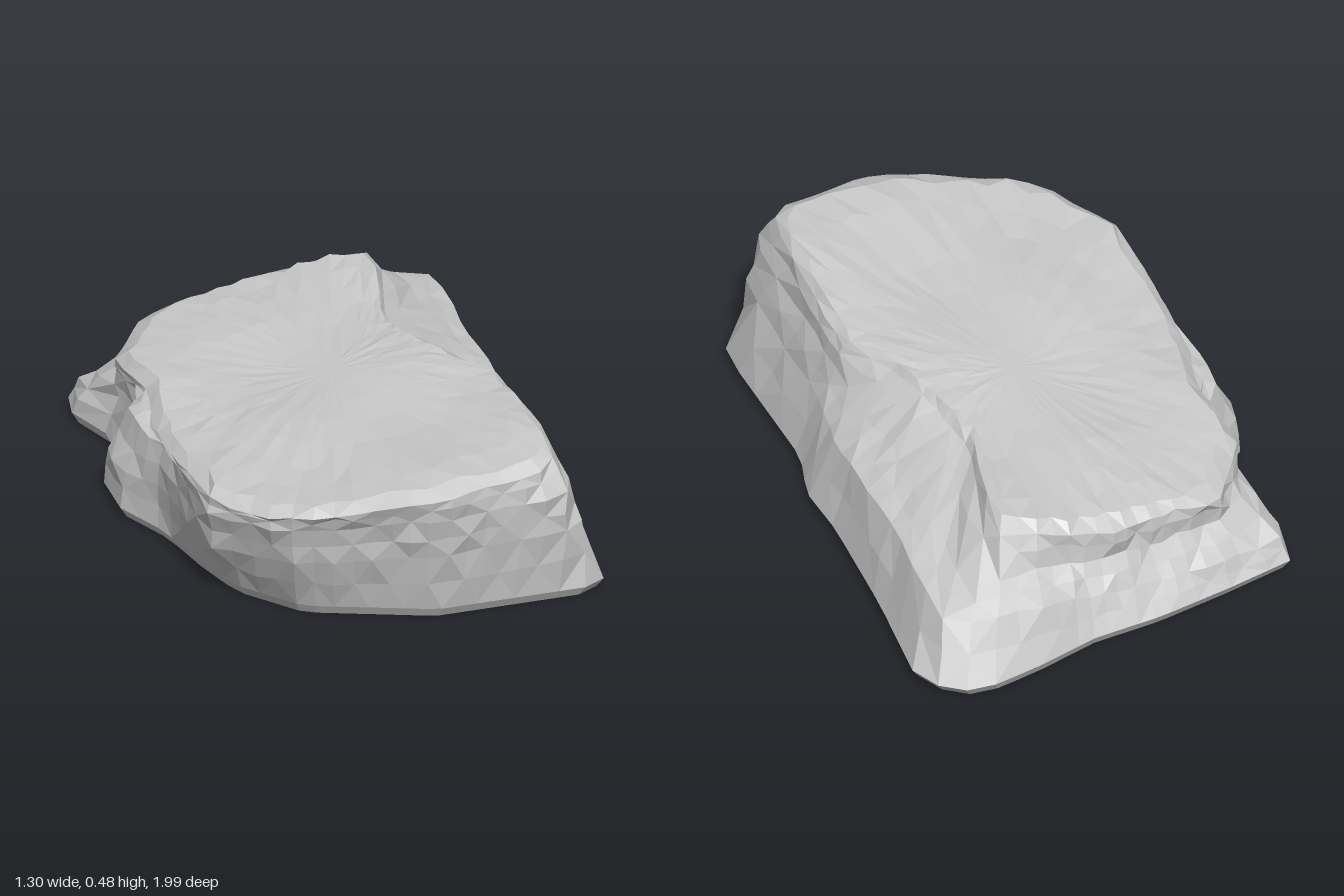
import * as THREE from 'three';

// Outlines as [x, z, y] points, walking front-right -> right -> back -> left -> front.
const SKIRT = [
  [0.52, 0.9, 0.03], [0.57, 0.85, 0.03], [0.56, 0.27, 0.03], [0.61, 0.1, 0.03], [0.6, -0.1, 0.03],
  [0.62, -0.5, 0.03], [0.655, -0.85, 0.03], [0.61, -0.95, 0.03], [0.54, -1, 0.03], [0.45, -1, 0.03],
  [0.3, -0.96, 0.03], [0.1, -0.89, 0.03], [-0.12, -0.86, 0.03], [-0.36, -0.8, 0.03], [-0.6, -0.73, 0.03],
  [-0.6, -0.66, 0.03], [-0.54, -0.48, 0.03], [-0.55, -0.26, 0.03], [-0.64, -0.18, 0.03], [-0.645, 0, 0.03],
  [-0.57, 0.18, 0.03], [-0.53, 0.4, 0.03], [-0.48, 0.58, 0.03], [-0.33, 0.77, 0.03], [0.04, 0.91, 0.03]];
const SHOULDER = [
  [0.46, 0.93, 0.24], [0.5, 0.86, 0.24], [0.5, 0.27, 0.22], [0.53, 0.1, 0.21], [0.54, -0.1, 0.23],
  [0.55, -0.5, 0.23], [0.575, -0.84, 0.21], [0.55, -0.89, 0.2], [0.48, -0.91, 0.2], [0.4, -0.9, 0.2],
  [0.28, -0.89, 0.18], [0.1, -0.84, 0.14], [-0.1, -0.81, 0.12], [-0.36, -0.77, 0.1], [-0.57, -0.7, 0.1],
  [-0.57, -0.63, 0.12], [-0.51, -0.46, 0.15], [-0.52, -0.27, 0.15], [-0.63, -0.18, 0.15], [-0.645, -0.04, 0.14],
  [-0.58, 0.16, 0.17], [-0.57, 0.4, 0.17], [-0.55, 0.6, 0.17], [-0.38, 0.83, 0.2], [0.04, 0.955, 0.22]];
const FOOT = [
  [0.42, 0.94, 0.36], [0.46, 0.87, 0.36], [0.46, 0.27, 0.34], [0.44, 0.1, 0.29], [0.43, -0.1, 0.29],
  [0.45, -0.5, 0.27], [0.47, -0.75, 0.25], [0.43, -0.82, 0.25], [0.38, -0.81, 0.25], [0.28, -0.8, 0.25],
  [0.15, -0.78, 0.24], [0, -0.78, 0.22], [-0.15, -0.74, 0.21], [-0.36, -0.69, 0.2], [-0.47, -0.62, 0.2],
  [-0.52, -0.45, 0.24], [-0.5, -0.25, 0.26], [-0.57, -0.17, 0.27], [-0.585, -0.04, 0.28], [-0.565, 0.14, 0.29],
  [-0.575, 0.4, 0.29], [-0.57, 0.62, 0.29], [-0.42, 0.85, 0.32], [0.04, 0.985, 0.35]];
const RIM = [
  [0.36, 0.93, 0], [0.42, 0.84, 0], [0.43, 0.6, 0], [0.44, 0.25, 0], [0.35, 0.1, 0], [0.29, -0.1, 0],
  [0.26, -0.3, 0], [0.31, -0.5, 0], [0.36, -0.74, 0], [0.2, -0.77, 0], [0, -0.785, 0], [-0.2, -0.73, 0],
  [-0.36, -0.71, 0], [-0.45, -0.56, 0], [-0.53, -0.44, 0], [-0.5, -0.2, 0], [-0.55, 0, 0], [-0.57, 0.3, 0],
  [-0.56, 0.63, 0], [-0.45, 0.82, 0], [-0.35, 0.9, 0], [-0.1, 0.97, 0], [0.04, 1, 0], [0.24, 0.95, 0]];
const SIDES = 72;

// Repeatable value from -1 to 1.
function jitter(n) {
  const s = Math.sin(n * 127.1 + 11.7) * 43758.5453;
  return 2 * (s - Math.floor(s)) - 1;
}

// Tilted top face, rising to the front and the left, with soft steps.
function topHeight(x, z) {
  return 0.385 + 0.055 * z + 0.11 * x + 0.006 * Math.sin(9 * z + 5 * x) + 0.004 * Math.sin(13 * x - 6 * z);
}

// Resample an outline by casting a ray from the centre for each side.
function sample(outline) {
  return Array.from({ length: SIDES }, (_, i) => {
    const a = (i / SIDES) * Math.PI * 2;
    const dx = 0.65 * Math.cos(a), dz = Math.sin(a);
    let best = null, far = 0;
    outline.forEach((p, k) => {
      const q = outline[(k + 1) % outline.length];
      const ex = q[0] - p[0], ez = q[1] - p[1];
      const den = dx * ez - dz * ex;
      if (Math.abs(den) < 1e-9) return;
      const t = (p[0] * ez - p[1] * ex) / den;
      const u = (p[0] * dz - p[1] * dx) / den;
      if (u >= -1e-6 && u <= 1 + 1e-6 && t > far) {
        far = t;
        best = [dx * t, p[2] + (q[2] - p[2]) * u, dz * t];
      }
    });
    return best;
  });
}

function blend(a, b, t) {
  return a.map((p, i) => p.map((v, k) => v + (b[i][k] - v) * t));
}

function roughen(ring, seed, amount) {
  return ring.map((p, i) => p.map((v, k) => v + amount * jitter(seed * 1000 + i * 3 + k)));
}

function stoneGeometry() {
  const skirt = sample(SKIRT), shoulder = sample(SHOULDER), foot = sample(FOOT);
  const rim = sample(RIM).map(([x, , z]) => [x, topHeight(x, z) - 0.025, z]);

  // Flat base, weathered sides and cliff
  const rings = [
    skirt.map(([x, , z]) => [x * 0.97, 0, z * 0.98]),
    skirt,
    roughen(blend(skirt, shoulder, 0.5), 1, 0.006),
    roughen(shoulder, 2, 0.006),
    roughen(blend(shoulder, foot, 0.5), 3, 0.007),
    roughen(foot, 4, 0.007),
    roughen(blend(foot, rim, 0.6), 5, 0.007),
    roughen(rim, 6, 0.004),
  ];
  // Top face, closing in towards the centre
  [0.94, 0.82, 0.68, 0.53, 0.38, 0.23, 0.1].forEach((s, j) => {
    rings.push(rim.map(([x, , z], i) => {
      const r = s + 0.025 * s * jitter(j * 100 + i);
      return [x * r, topHeight(x * r, z * r) + 0.005 * s * jitter(j * 300 + i + 50), z * r];
    }));
  });

  const positions = rings.flat(2);
  const index = [];
  const at = (r, i) => r * SIDES + (i % SIDES);
  const bottom = rings.length * SIDES, top = bottom + 1;
  positions.push(0, 0, 0, 0, topHeight(0, 0), 0);
  for (let i = 0; i < SIDES; i++) {
    for (let r = 0; r < rings.length - 1; r++) {
      const a = at(r, i), b = at(r, i + 1), c = at(r + 1, i + 1), d = at(r + 1, i);
      if ((i + r) % 2) index.push(b, a, d, b, d, c);
      else index.push(b, a, c, a, d, c);
    }
    index.push(bottom, at(0, i), at(0, i + 1));
    index.push(top, at(rings.length - 1, i + 1), at(rings.length - 1, i));
  }
  const geometry = new THREE.BufferGeometry();
  geometry.setAttribute('position', new THREE.Float32BufferAttribute(positions, 3));
  geometry.setIndex(index);
  geometry.computeVertexNormals();
  return geometry;
}

export function createModel() {
  const group = new THREE.Group();
  group.name = 'rock';
  const stone = new THREE.Mesh(
    stoneGeometry(),
    new THREE.MeshStandardMaterial({ color: 0xcccccc, flatShading: true }));
  stone.name = 'stoneSlab';
  group.add(stone);
  return group;
}
